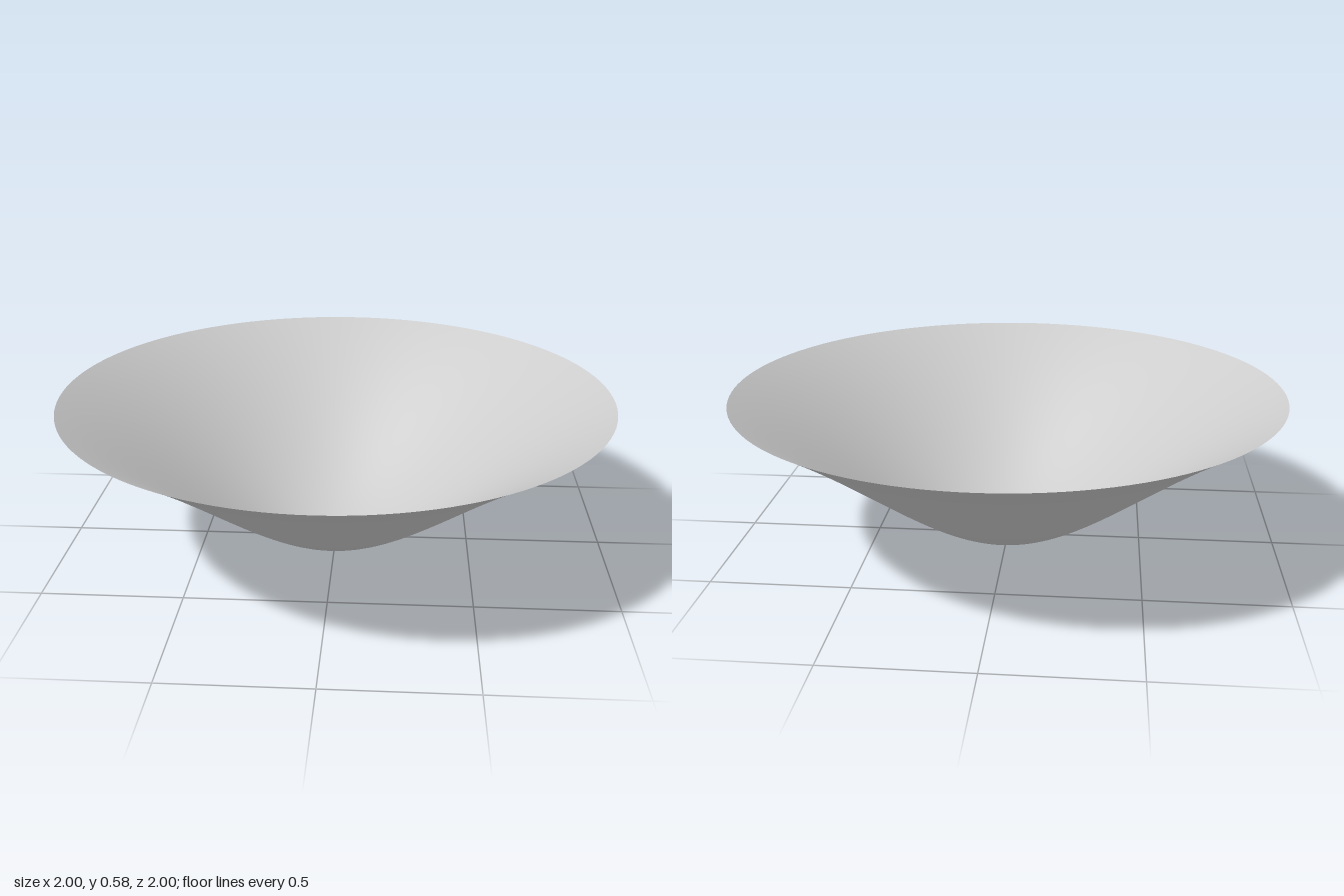
import * as THREE from 'three';

const RIM_RADIUS = 1;
const HEIGHT = 0.583;
const FLARE = 0.905; // how strongly the wall straightens towards the rim

// Wall height at radius r: rounded at the bottom, flaring outwards to the rim
const wallHeight = (r) => (HEIGHT * (1 + FLARE) * r * r) / (1 + FLARE * r * r);

export function createModel() {
  const group = new THREE.Group();
  group.name = 'flaredBowl';

  // Thin open shell turned around the vertical axis
  const rings = 48;
  const profile = [];
  for (let i = 0; i <= rings; i++) {
    const r = (RIM_RADIUS * i) / rings;
    profile.push(new THREE.Vector2(r, wallHeight(r)));
  }
  const shell = new THREE.Mesh(
    new THREE.LatheGeometry(profile, 128),
    new THREE.MeshStandardMaterial({ color: 0xcccccc, side: THREE.DoubleSide })
  );
  shell.name = 'bowlShell';
  group.add(shell);

  return group;
}
